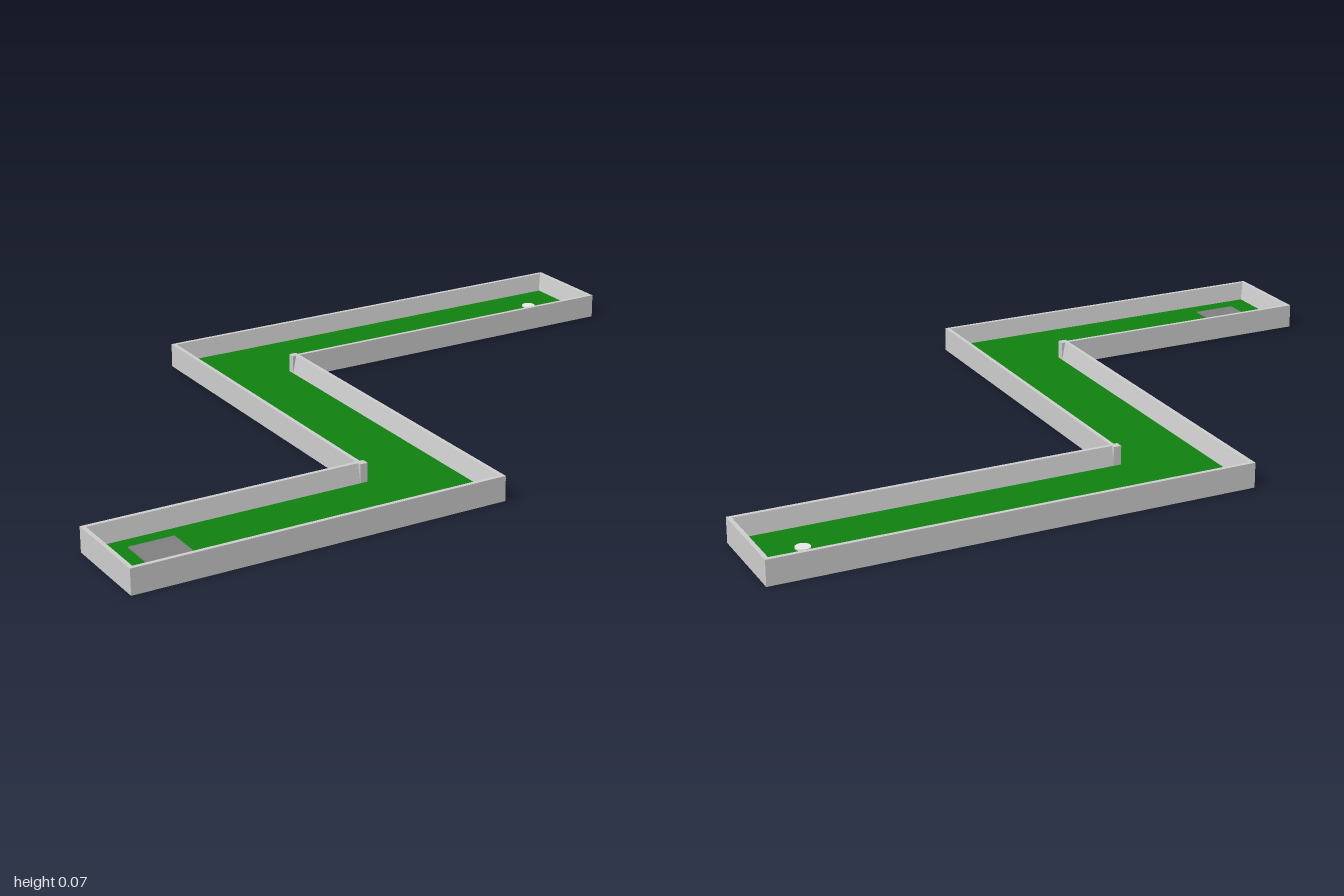
import * as THREE from 'three';

// Plan of the lane, counter-clockwise seen from above, as [x, -z]
const OUTLINE = [
  [-1, -0.632], [-0.003, -0.632], [-0.003, 0.368], [1, 0.368],
  [1, 0.632], [-0.265, 0.632], [-0.265, -0.368], [-1, -0.368],
];
const HEIGHT = 0.066;
const FLOOR = 0.016;
const WALL = 0.021;

// Outline moved inwards by d, with mitred corners
function inset(d) {
  const n = OUTLINE.length;
  return OUTLINE.map((p, i) => {
    const a = OUTLINE[(i + n - 1) % n], b = OUTLINE[(i + 1) % n];
    const u = [Math.sign(p[0] - a[0]), Math.sign(p[1] - a[1])];
    const v = [Math.sign(b[0] - p[0]), Math.sign(b[1] - p[1])];
    return [p[0] - (u[1] + v[1]) * d, p[1] + (u[0] + v[0]) * d];
  });
}

// Sweep of an [inset, height] profile around the outline
function sweepWall(profile) {
  const rings = profile.map(([d, y]) => inset(d).map(([x, w]) => [x, y, -w]));
  const pos = [];
  const n = OUTLINE.length;
  for (let k = 0; k < rings.length - 1; k++) {
    for (let i = 0; i < n; i++) {
      const j = (i + 1) % n;
      const a = rings[k][i], b = rings[k][j], c = rings[k + 1][j], d = rings[k + 1][i];
      pos.push(...a, ...b, ...c, ...a, ...c, ...d);
    }
  }
  const g = new THREE.BufferGeometry();
  g.setAttribute('position', new THREE.Float32BufferAttribute(pos, 3));
  g.computeVertexNormals();
  return g;
}

export function createModel() {
  const group = new THREE.Group();
  const material = (name, color) => {
    const m = new THREE.MeshStandardMaterial({ color });
    m.name = name;
    return m;
  };
  const wallGrey = material('wall grey', 0xcccccc);
  const turfGreen = material('turf green', 0x108010);
  const matGrey = material('mat grey', 0x808080);
  const cupWhite = material('cup white', 0xf2f2f2);

  const add = (name, geometry, mat, x = 0, y = 0, z = 0) => {
    const mesh = new THREE.Mesh(geometry, mat);
    mesh.name = name;
    mesh.position.set(x, y, z);
    group.add(mesh);
    return mesh;
  };

  // Green floor slab, also seen from below
  const shape = new THREE.Shape(inset(0.001).map(([x, y]) => new THREE.Vector2(x, y)));
  const slab = new THREE.ExtrudeGeometry(shape, { depth: FLOOR, bevelEnabled: false });
  slab.rotateX(-Math.PI / 2);
  add('floor', slab, turfGreen);

  // Surrounding wall with a sloping inner face
  add('wall', sweepWall([[0, 0], [0, HEIGHT], [0.011, HEIGHT], [WALL, FLOOR]]), wallGrey);

  // Square posts at the two inward corners
  const postHeight = HEIGHT - FLOOR;
  for (const [x, z, s] of [[-0.265, 0.368, 1], [-0.003, -0.368, -1]]) {
    add('cornerPost', new THREE.BoxGeometry(WALL, postHeight, WALL), wallGrey,
      x + s * WALL / 2, FLOOR + postHeight / 2, z + s * WALL / 2);
  }

  // Starting mat and target cup
  add('startMat', new THREE.BoxGeometry(0.118, 0.004, 0.122), matGrey, -0.853, FLOOR + 0.002, 0.496);
  add('cup', new THREE.CylinderGeometry(0.019, 0.019, 0.004, 24), cupWhite, 0.865, FLOOR + 0.002, -0.505);

  return group;
}
